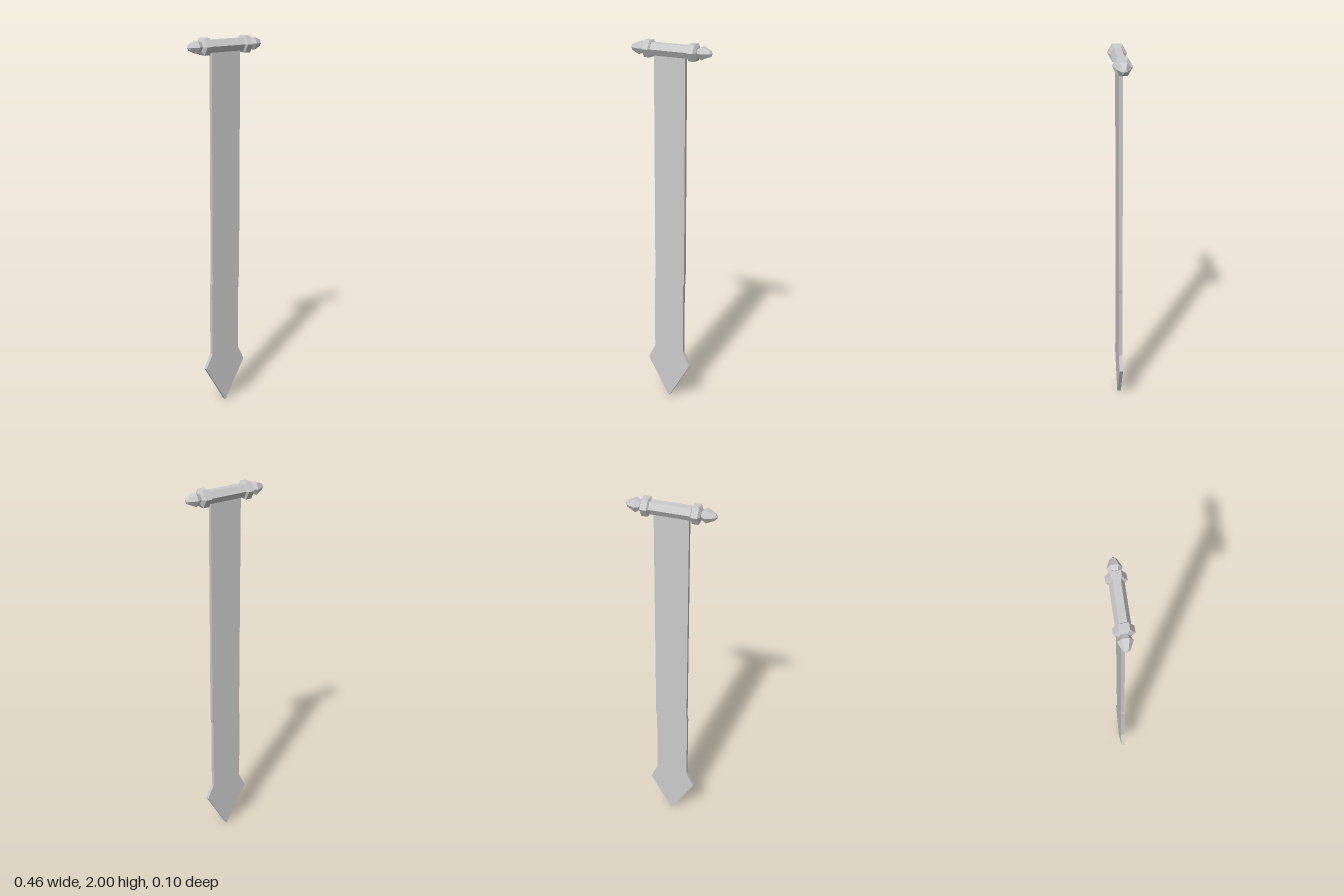
import * as THREE from 'three';

const ROD_Y = 1.958;
const material = new THREE.MeshStandardMaterial({ color: 0xcccccc, flatShading: true });

// Six-sided turned piece; the profile is [radius, distance along the axis]
function turned(name, profile) {
  const points = profile.map(([r, d]) => new THREE.Vector2(r, d));
  const mesh = new THREE.Mesh(new THREE.LatheGeometry(points, 6), material);
  mesh.name = name;
  return mesh;
}

export function createModel() {
  const model = new THREE.Group();
  model.name = 'hangingBlade';

  // Flat blade with a slight sway and a barbed point
  const outline = [
    [-0.09, 1.95], [-0.09, 0.72], [-0.094, 0.7], [-0.094, 0.3], [-0.135, 0.22],
    [-0.006, 0], [0.12, 0.22], [0.081, 0.3], [0.081, 0.7], [0.086, 0.72], [0.086, 1.95],
  ].map(([x, y]) => new THREE.Vector2(x, y));
  const bladeGeometry = new THREE.ExtrudeGeometry(new THREE.Shape(outline), { depth: 0.02, bevelEnabled: false });
  bladeGeometry.translate(0, 0, -0.008);
  const blade = new THREE.Mesh(bladeGeometry, material);
  blade.name = 'blade';
  model.add(blade);

  // Crossbar lying along x
  const crossbar = new THREE.Group();
  crossbar.name = 'crossbar';
  crossbar.position.set(0, ROD_Y, -0.001);
  const rod = turned('rod', [[0.0355, -0.115], [0.0355, 0.115]]);
  rod.rotation.z = Math.PI / 2;
  crossbar.add(rod);

  // Chamfered collar and pointed finial at each end
  for (const side of [1, -1]) {
    const end = new THREE.Group();
    end.name = side > 0 ? 'leftEnd' : 'rightEnd';
    end.rotation.z = -side * Math.PI / 2;
    end.add(
      turned('collar', [[0, 0.103], [0.036, 0.103], [0.0485, 0.109], [0.0485, 0.141], [0.028, 0.151], [0, 0.151]]),
      turned('finial', [[0.021, 0.148], [0.0365, 0.175], [0.017, 0.217], [0, 0.2285]]),
    );
    crossbar.add(end);
  }
  model.add(crossbar);
  return model;
}
